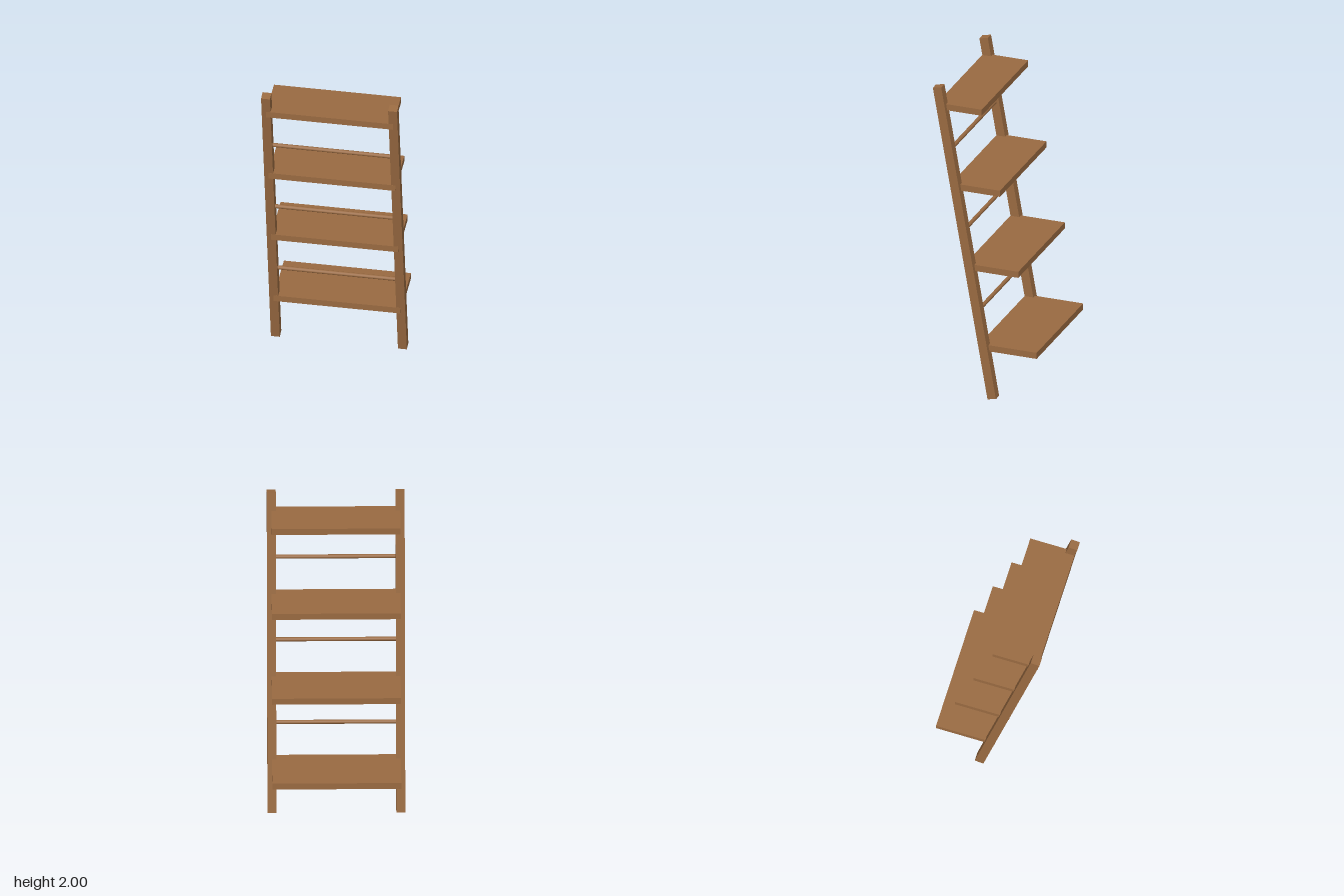
import * as THREE from 'three';

export function createModel() {
  const model = new THREE.Group();
  model.name = 'ladderShelf';
  const wood = new THREE.MeshStandardMaterial({ color: 0x996a41 });
  wood.name = 'brownWood';

  const lean = THREE.MathUtils.degToRad(10);
  const railZ = (y) => 0.1235 + (y - 1) * Math.tan(lean); // rail centre line
  const spacing = 0.5135;

  const add = (name, geometry, x, y, z) => {
    const mesh = new THREE.Mesh(geometry, wood);
    mesh.name = name;
    mesh.position.set(x, y, z);
    model.add(mesh);
    return mesh;
  };

  // Two leaning rails
  const railGeometry = new THREE.BoxGeometry(0.054, 2.021, 0.055);
  for (const side of [-1, 1]) {
    const rail = add(side > 0 ? 'leftRail' : 'rightRail', railGeometry, side * 0.386, 1, railZ(1));
    rail.rotation.x = lean;
  }

  // Shelves, deeper towards the floor, let into the rails
  for (let i = 0; i < 4; i++) {
    const front = 0.308 - i * spacing * Math.tan(lean);
    const back = 0.023 - i * 0.1177;
    add(`shelf${i + 1}`, new THREE.BoxGeometry(0.772, 0.04, front - back),
      0, 1.864 - i * spacing, (front + back) / 2);
  }

  // Thin round rungs between the shelves
  const rungGeometry = new THREE.CylinderGeometry(0.0125, 0.0125, 0.74, 12);
  for (let i = 0; i < 3; i++) {
    const y = 1.588 - i * spacing;
    add(`rung${i + 1}`, rungGeometry, 0, y, railZ(y)).rotation.z = Math.PI / 2;
  }

  return model;
}
